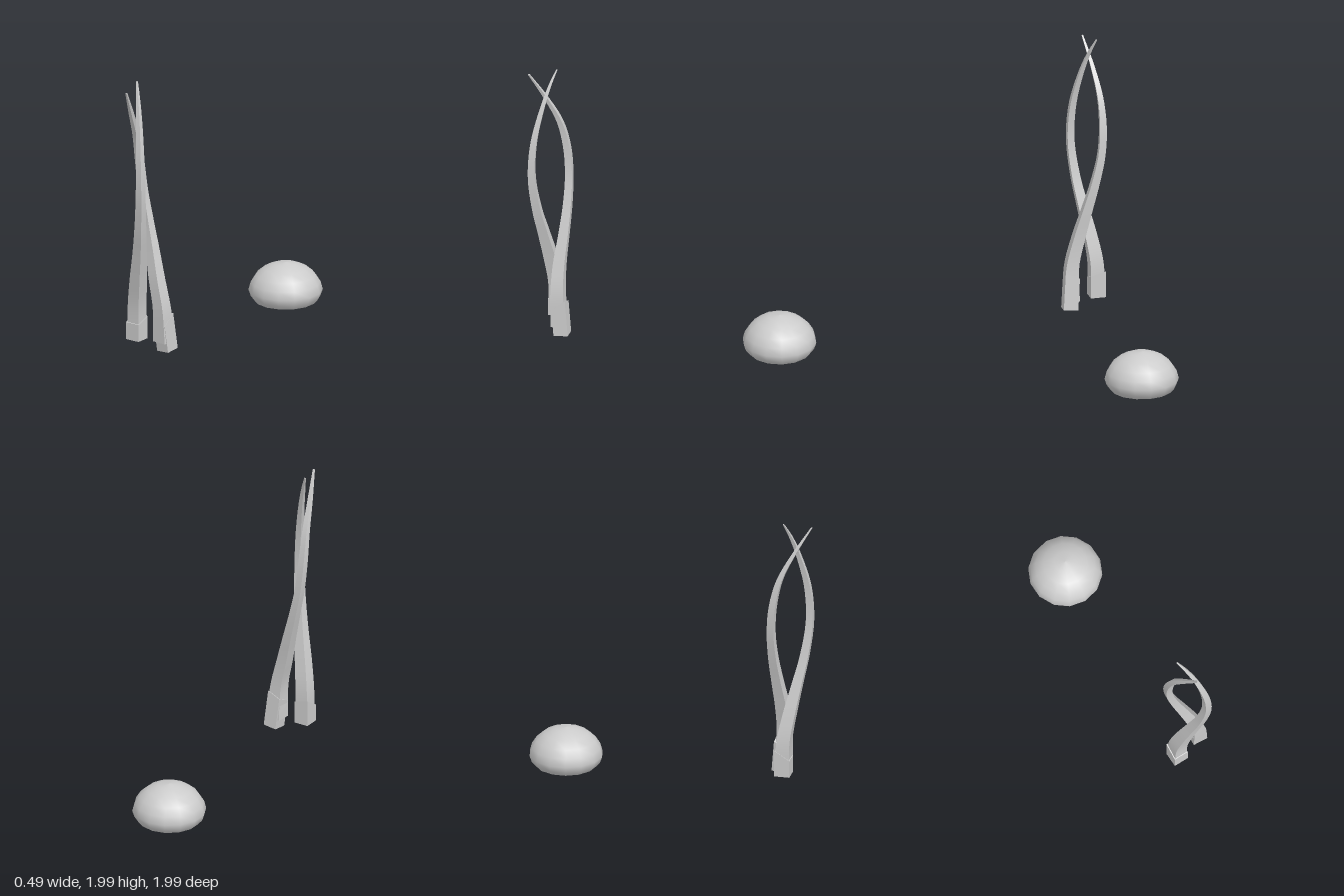
import * as THREE from 'three';

const material = new THREE.MeshStandardMaterial({ color: 0xcccccc });

function addMesh(parent, name, geometry) {
  const mesh = new THREE.Mesh(geometry, material);
  mesh.name = name;
  parent.add(mesh);
  return mesh;
}

// Square bar swept upward through stations [x, y, z, width]; the edges stay sharp.
function taperedBlade(stations, yaw) {
  const path = new THREE.CatmullRomCurve3(stations.map(([x, y, z]) => new THREE.Vector3(x, y, z)));
  const widths = new THREE.CatmullRomCurve3(stations.map(([, y, , w]) => new THREE.Vector3(w, y, 0)));
  const geometry = new THREE.BoxGeometry(1, 1, 1, 1, 40, 1);
  const pos = geometry.attributes.position;
  const v = new THREE.Vector3();
  for (let i = 0; i < pos.count; i++) {
    v.fromBufferAttribute(pos, i);
    const t = THREE.MathUtils.clamp(v.y + 0.5, 0, 1);
    const centre = path.getPoint(t);
    const w = widths.getPoint(t).x;
    v.set(v.x * w, 0, v.z * w).applyAxisAngle(THREE.Object3D.DEFAULT_UP, yaw).add(centre);
    pos.setXYZ(i, v.x, v.y, v.z);
  }
  geometry.computeVertexNormals();
  return geometry;
}

// Block whose upper end slopes up towards the back and the outer side.
function socketBlock(width, height, outerSide) {
  const geometry = new THREE.BoxGeometry(width, height, width);
  geometry.translate(0, height / 2, 0);
  const pos = geometry.attributes.position;
  for (let i = 0; i < pos.count; i++) {
    if (pos.getY(i) < height / 2) continue;
    const back = pos.getZ(i) < 0 ? 0.035 : 0;
    const outer = pos.getX(i) * outerSide > 0 && back ? 0.03 : 0;
    pos.setY(i, height + back + outer);
  }
  geometry.computeVertexNormals();
  return geometry;
}

export function createModel() {
  const model = new THREE.Group();
  model.name = 'bladesAndDome';

  // Right blade, bowing diagonally forward and back again
  const rightBlade = new THREE.Group();
  rightBlade.name = 'rightBlade';
  model.add(rightBlade);
  addMesh(rightBlade, 'rightBladeShaft', taperedBlade([
    [-0.10, 0.16, 0.805, 0.097], [-0.095, 0.4, 0.81, 0.092], [-0.062, 0.6, 0.842, 0.084],
    [-0.02, 0.8, 0.883, 0.07], [0.018, 1.0, 0.925, 0.058], [0.043, 1.25, 0.955, 0.048],
    [0.03, 1.5, 0.943, 0.042], [-0.018, 1.75, 0.89, 0.03], [-0.062, 1.9, 0.845, 0.02],
    [-0.1, 2.0, 0.805, 0.009],
  ], 0));
  addMesh(rightBlade, 'rightBladeSocket', socketBlock(0.105, 0.122, -1)).position.set(-0.101, 0.152, 0.805);

  // Left blade, sweeping sideways and then forward to its tip
  const leftBlade = new THREE.Group();
  leftBlade.name = 'leftBlade';
  model.add(leftBlade);
  addMesh(leftBlade, 'leftBladeShaft', taperedBlade([
    [0.092, 0.16, 0.755, 0.105], [0.083, 0.4, 0.768, 0.088], [0.037, 0.6, 0.763, 0.08],
    [-0.016, 0.8, 0.742, 0.067], [-0.07, 1.0, 0.725, 0.056], [-0.113, 1.2, 0.721, 0.049],
    [-0.128, 1.4, 0.737, 0.046], [-0.12, 1.6, 0.785, 0.038], [-0.09, 1.8, 0.885, 0.026],
    [-0.052, 1.975, 0.99, 0.011],
  ], -0.08));
  const leftSocket = addMesh(leftBlade, 'leftBladeSocket', socketBlock(0.1, 0.19, 1));
  leftSocket.position.set(0.106, 0.098, 0.735);
  leftSocket.rotation.set(0.1, -0.08, 0.08);

  // Faceted dome behind the blades, with a creased underside
  const dome = new THREE.Group();
  dome.name = 'dome';
  dome.position.z = -0.743;
  model.add(dome);
  const lathe = (profile) => new THREE.LatheGeometry(profile.map(([r, y]) => new THREE.Vector2(r, y)), 14);
  addMesh(dome, 'domeShell', lathe([
    [0.21, 0.028], [0.238, 0.06], [0.253, 0.105], [0.238, 0.16], [0.205, 0.212],
    [0.15, 0.258], [0.075, 0.29], [0, 0.3],
  ]));
  addMesh(dome, 'domeUnderside', lathe([[0, 0.022], [0.07, 0.016], [0.14, 0.006], [0.21, 0.028]]));

  return model;
}
